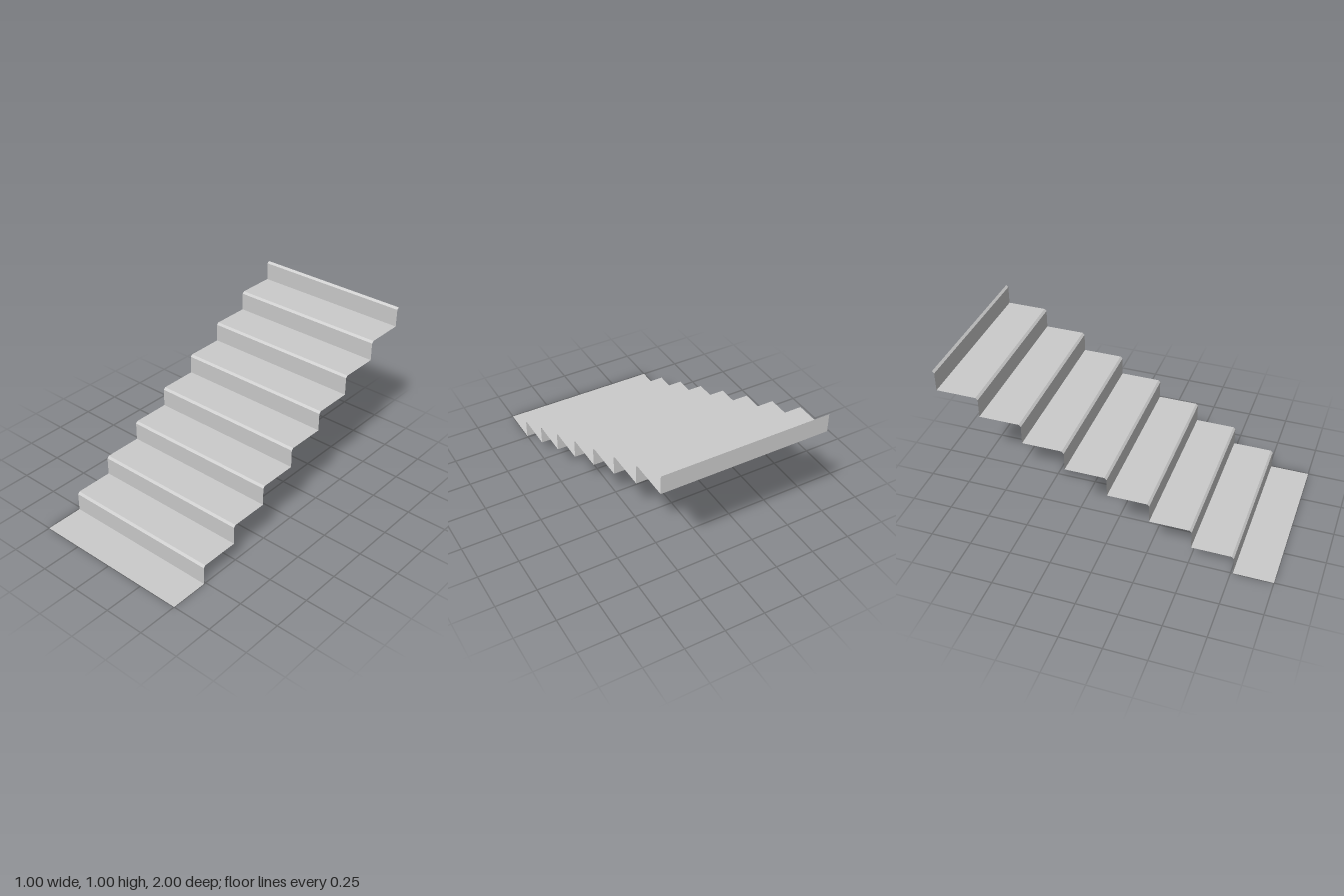
import * as THREE from 'three';

const STEPS = 8, WIDTH = 1, RUN = 2 / STEPS, RISE = 1 / STEPS, BEVEL = 0.0125;

// Flat strip across the stair between two profile points [z, y]
function strip(name, [z0, y0], [z1, y1], material) {
  const geometry = new THREE.PlaneGeometry(WIDTH, 1);
  const pos = geometry.attributes.position;
  for (let i = 0; i < pos.count; i++) {
    const upper = pos.getY(i) > 0;
    pos.setXYZ(i, pos.getX(i), upper ? y1 : y0, upper ? z1 : z0);
  }
  geometry.computeVertexNormals();
  const mesh = new THREE.Mesh(geometry, material);
  mesh.name = name;
  return mesh;
}

export function createModel() {
  const group = new THREE.Group();
  group.name = 'staircase';
  const material = new THREE.MeshStandardMaterial({
    color: 0xcccccc, side: THREE.DoubleSide, flatShading: true,
  });

  for (let i = 0; i < STEPS; i++) {
    const step = new THREE.Group();
    step.name = `step${i + 1}`;
    const front = 1 - i * RUN, back = front - RUN;
    const base = i * RISE, top = base + RISE;

    // Profile of one step: tread, riser, then the bevelled nosing
    const profile = [
      [front, base],
      [back + BEVEL, base],
      [back + BEVEL, top - BEVEL],
      [back, top],
    ];
    ['tread', 'riser', 'nosing'].forEach((name, k) =>
      step.add(strip(name, profile[k], profile[k + 1], material)));
    group.add(step);
  }
  return group;
}
